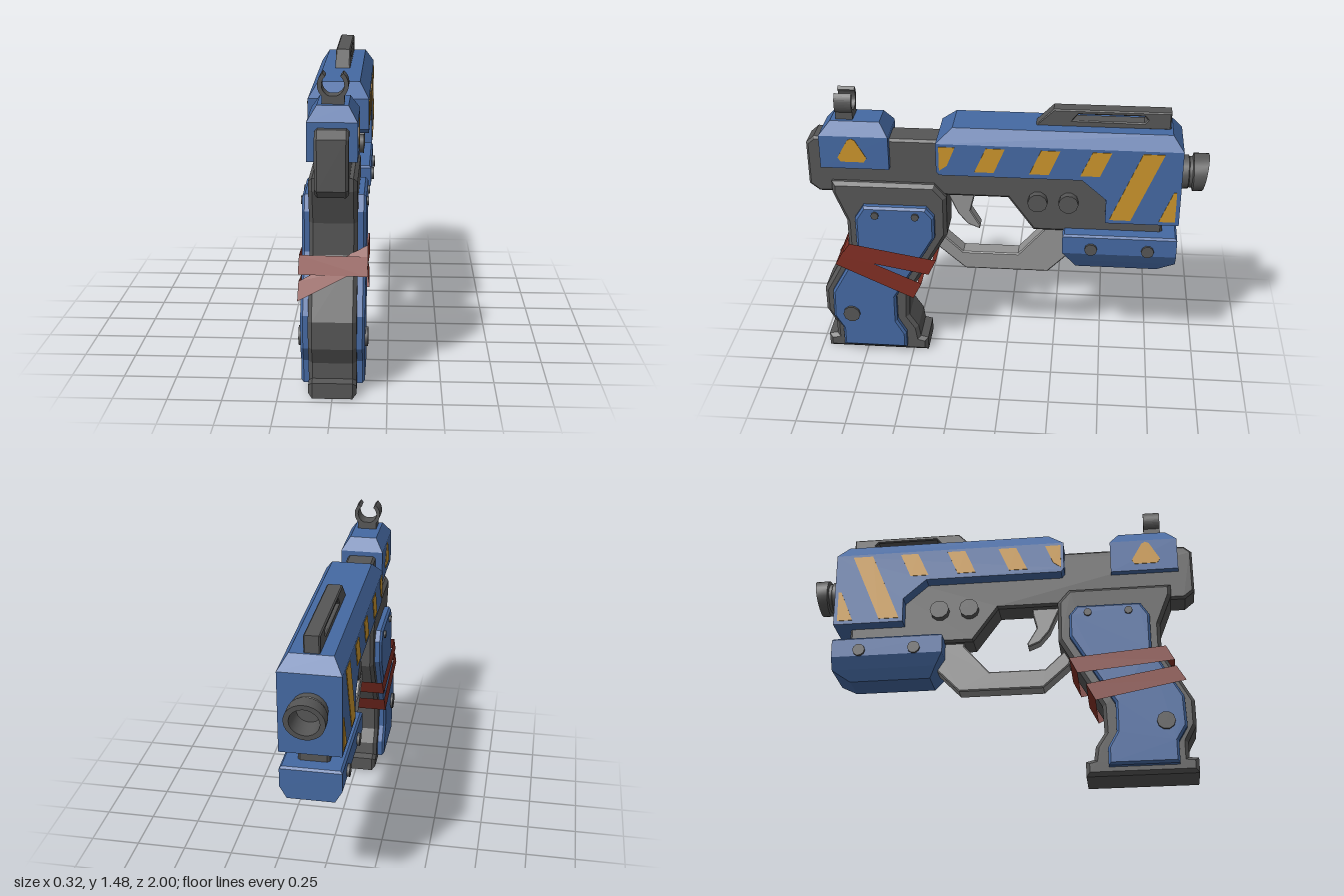
import * as THREE from 'three';
import { toCreasedNormals } from 'three/addons/utils/BufferGeometryUtils.js';

function paint(name, color, side = THREE.FrontSide) {
  const m = new THREE.MeshStandardMaterial({ color, side });
  m.name = name;
  return m;
}

export function createModel() {
  const dark = paint('dark grey', 0x565656);
  const blue = paint('blue', 0x4569a2);
  const yellow = paint('yellow', 0xca942c);
  const red = paint('strap red', 0x7f2e23, THREE.DoubleSide);
  const light = paint('light grey', 0x929292);
  const model = new THREE.Group();

  const add = (name, geometry, material) => {
    const mesh = new THREE.Mesh(geometry, material);
    mesh.name = name;
    model.add(mesh);
    return mesh;
  };
  const vecs = pts => pts.map(p => new THREE.Vector2(p[0], p[1]));

  // side profile in (z, y), extruded across x with chamfered edges
  function slab(name, pts, half, bevel, material, x = 0, hole = null) {
    const shape = new THREE.Shape(vecs(pts));
    if (hole) shape.holes.push(new THREE.Path(vecs(hole)));
    const g = new THREE.ExtrudeGeometry(shape, {
      depth: 2 * (half - bevel), bevelEnabled: bevel > 0, bevelThickness: bevel,
      bevelSize: bevel, bevelOffset: -bevel, bevelSegments: 1,
    });
    g.translate(0, 0, bevel - half).rotateY(-Math.PI / 2).translate(x, 0, 0);
    return add(name, g, material);
  }

  // stacked rectangles [y, zMin, zMax, halfWidth], from bottom to top
  function stack(name, rows, material) {
    const pos = [], idx = [];
    for (const [y, z0, z1, w] of rows) pos.push(-w, y, z1, w, y, z1, w, y, z0, -w, y, z0);
    for (let r = 0; r < rows.length - 1; r++) {
      for (let i = 0; i < 4; i++) {
        const a = r * 4 + i, b = r * 4 + (i + 1) % 4;
        idx.push(a, b, b + 4, a, b + 4, a + 4);
      }
    }
    const t = rows.length * 4 - 4;
    idx.push(t, t + 1, t + 2, t, t + 2, t + 3, 0, 2, 1, 0, 3, 2);
    const g = new THREE.BufferGeometry();
    g.setAttribute('position', new THREE.Float32BufferAttribute(pos, 3));
    g.setIndex(idx);
    const flat = g.toNonIndexed();
    flat.computeVertexNormals();
    return add(name, flat, material);
  }

  // frame and grip
  slab('frame', [[1, 1.215], [0.96, 1.25], [-0.79, 1.25], [-0.79, 0.765], [-0.14, 0.765],
    [-0.01, 0.945], [0.95, 0.945], [1, 0.985]], 0.075, 0.012, dark);
  slab('handle', [[0.88, 1.015], [0.88, 0.955], [0.815, 0.79], [0.815, 0.64], [0.96, 0.37],
    [0.96, 0.24], [0.915, 0.155], [0.915, 0.08], [0.96, 0.075], [0.96, 0], [0.42, 0], [0.42, 0.075],
    [0.46, 0.085], [0.47, 0.15], [0.515, 0.22], [0.51, 0.36], [0.3, 0.73], [0.3, 0.945],
    [0.36, 1.015]], 0.11, 0.018, dark);
  slab('gripPlates', [[0.72, 0.9], [0.4, 0.9], [0.36, 0.85], [0.36, 0.73], [0.575, 0.36],
    [0.575, 0.21], [0.53, 0.13], [0.53, 0.04], [0.87, 0.04], [0.87, 0.15], [0.915, 0.225],
    [0.91, 0.38], [0.765, 0.64], [0.765, 0.83]], 0.147, 0.012, blue);
  add('magazineBase', new THREE.BoxGeometry(0.11, 0.006, 0.22).translate(0, 0.003, 0.69), dark);

  // slide: constant-width lower part with a chamfered roof
  slab('slide', [[0.34, 1.27], [0.34, 1.12], [0.325, 1.1], [-0.38, 1.1], [-0.5, 0.995],
    [-0.5, 0.865], [-0.865, 0.865], [-0.865, 1.27]], 0.147, 0, blue);
  stack('slideRoof', [[1.27, -0.865, 0.34, 0.147], [1.34, -0.81, 0.26, 0.102]], blue);
  stack('rearBlock', [[1.1, 0.58, 0.925, 0.112], [1.275, 0.58, 0.925, 0.112],
    [1.34, 0.625, 0.87, 0.07]], blue);
  stack('frontPod', [[0.565, -0.775, -0.36, 0.08], [0.62, -0.865, -0.328, 0.113],
    [0.68, -0.865, -0.29, 0.147], [0.775, -0.865, -0.29, 0.147],
    [0.785, -0.855, -0.3, 0.137]], blue);

  // top rail with a slot
  slab('topRail', [[-0.14, 1.335], [-0.23, 1.425], [-0.8, 1.425], [-0.8, 1.335]], 0.038, 0.006, dark, 0,
    [[-0.32, 1.368], [-0.35, 1.402], [-0.67, 1.402], [-0.685, 1.385], [-0.67, 1.368]]);

  // open ring sight
  const ring = new THREE.Shape();
  const gap = 0.72, a0 = Math.PI / 2 + gap, a1 = Math.PI * 2.5 - gap;
  ring.absarc(0, 0, 0.069, a0, a1, false);
  ring.absarc(0, 0, 0.05, a1, a0, true);
  add('ringSight', new THREE.ExtrudeGeometry(ring, { depth: 0.085, bevelEnabled: false, curveSegments: 20 })
    .translate(0, 1.424, 0.76), dark);
  add('sightStem', new THREE.BoxGeometry(0.1, 0.05, 0.085).translate(0, 1.352, 0.8025), dark);

  // hollow muzzle with a groove and a slanted mouth
  const muzzle = new THREE.LatheGeometry(vecs([[0.085, 0.84], [0.085, 0.9], [0.078, 0.905],
    [0.078, 0.92], [0.095, 0.925], [0.095, 0.985], [0.07, 0.985], [0.06, 0.87], [0, 0.87]]), 24);
  muzzle.rotateX(-Math.PI / 2);
  const mp = muzzle.attributes.position;
  for (let i = 0; i < mp.count; i++) {
    if (mp.getZ(i) < -0.95) mp.setZ(i, mp.getZ(i) - mp.getY(i) * 0.158);
  }
  add('muzzle', toCreasedNormals(muzzle.translate(0, 1.095, 0), 0.6), dark);

  // trigger and its guard
  slab('triggerGuard', [[0.37, 0.71], [0.35, 0.62], [0.215, 0.5], [-0.215, 0.5], [-0.36, 0.65],
    [-0.36, 0.78], [-0.19, 0.78], [-0.19, 0.75], [-0.06, 0.6], [0.225, 0.6], [0.32, 0.69]],
  0.045, 0.006, light);
  slab('trigger', [[0.31, 0.96], [0.165, 0.96], [0.165, 0.92], [0.185, 0.84], [0.135, 0.755],
    [0.14, 0.735], [0.2, 0.76], [0.25, 0.82], [0.29, 0.91]], 0.032, 0.005, light);

  // mirrored details: screws, buttons, stripes and warning triangles
  const screws = [['gripScrew', 0.66, 0.855, 0.02, 0.157], ['gripScrew', 0.455, 0.855, 0.02, 0.157],
    ['gripBolt', 0.815, 0.25, 0.045, 0.16], ['podBolt', -0.435, 0.71, 0.032, 0.16],
    ['podBolt', -0.72, 0.71, 0.032, 0.16], ['frameButton', -0.16, 0.94, 0.05, 0.112],
    ['frameButton', -0.315, 0.94, 0.05, 0.112]];
  const stripes = [
    [[0.325, 1.255], [0.245, 1.255], [0.285, 1.155], [0.325, 1.125]],
    ...[0, -0.27, -0.52].map(z => [[z + 0.093, 1.255], [z, 1.255], [z + 0.055, 1.125], [z + 0.15, 1.125]]),
    [[-0.67, 1.255], [-0.775, 1.255], [-0.625, 0.885], [-0.52, 0.885]],
    [[-0.83, 1.05], [-0.845, 1.05], [-0.845, 0.885], [-0.765, 0.885]],
  ];
  for (const s of [1, -1]) {
    for (const [name, z, y, r, x] of screws) {
      add(name, new THREE.CylinderGeometry(r, r, 0.06, 10).rotateZ(Math.PI / 2)
        .translate(s * (x - 0.03), y, z), dark);
    }
    for (const p of stripes) slab('hazardStripe', p, 0.002, 0, yellow, s * 0.148);
    slab('warningTriangle', [[0.82, 1.138], [0.835, 1.16], [0.782, 1.255], [0.763, 1.265],
      [0.744, 1.255], [0.69, 1.16], [0.705, 1.138]], 0.002, 0, yellow, s * 0.113);
  }

  // strap wound twice round the handle: [side, zTop, yTop, zBottom, yBottom]
  const wrap = [
    [1, 0.8, 0.685, 0.855, 0.605], [1, 0.355, 0.605, 0.395, 0.52],
    [-1, 0.355, 0.605, 0.395, 0.52], [-1, 0.835, 0.645, 0.875, 0.565],
    [1, 0.835, 0.64, 0.88, 0.56], [1, 0.435, 0.46, 0.48, 0.37],
    [-1, 0.435, 0.46, 0.48, 0.37], [-1, 0.88, 0.535, 0.925, 0.455],
  ];
  const sp = [], si = [];
  wrap.forEach(([s, zt, yt, zb, yb], i) => {
    sp.push(s * 0.155, yt, zt, s * 0.158, yb, zb);
    const a = i * 2, b = ((i + 1) % wrap.length) * 2;
    si.push(a, a + 1, b + 1, a, b + 1, b);
  });
  const strap = new THREE.BufferGeometry();
  strap.setAttribute('position', new THREE.Float32BufferAttribute(sp, 3));
  strap.setIndex(si);
  const strapFlat = strap.toNonIndexed();
  strapFlat.computeVertexNormals();
  add('handleStrap', strapFlat, red);

  return model;
}
